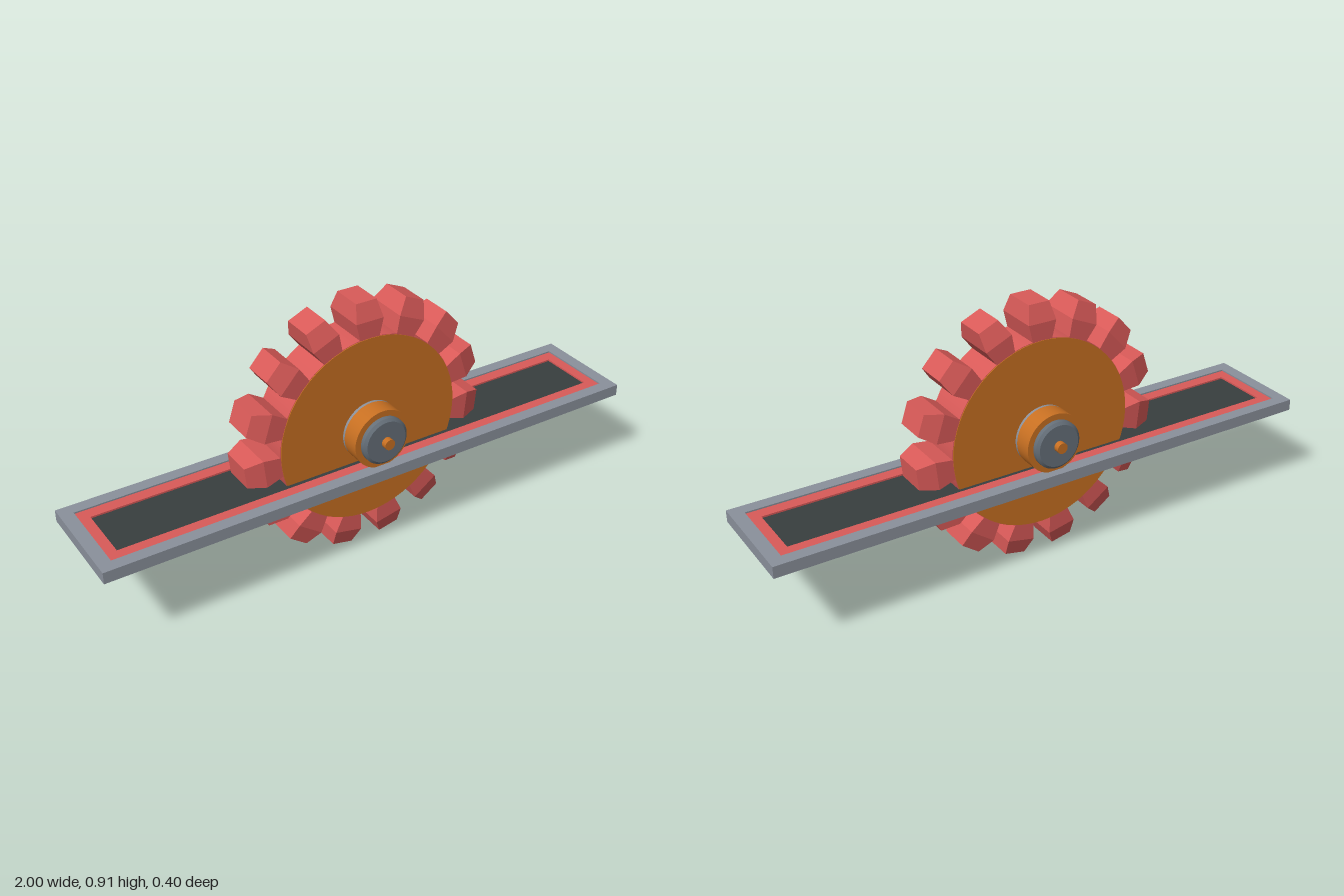
import * as THREE from 'three';

const mat = (name, color) => {
  const m = new THREE.MeshStandardMaterial({ color });
  m.name = name;
  return m;
};

export function createModel() {
  const red = mat('red', 0xd95a58);
  const orange = mat('orange', 0xc87022);
  const steel = mat('steel grey', 0x8a909b);
  const slate = mat('slate grey', 0x66707a);
  const dark = mat('charcoal', 0x383e3e);

  const model = new THREE.Group();
  model.name = 'sawWheelOnTrack';

  const add = (parent, name, geometry, material) => {
    const mesh = new THREE.Mesh(geometry, material);
    mesh.name = name;
    parent.add(mesh);
    return mesh;
  };

  // Rectangular ring lying flat, from half sizes
  const flatRing = (w, d, holeW, holeD, y0, y1) => {
    const rect = (T, a, b) => new T([
      new THREE.Vector2(-a, -b), new THREE.Vector2(a, -b),
      new THREE.Vector2(a, b), new THREE.Vector2(-a, b)]);
    const shape = rect(THREE.Shape, w, d);
    shape.holes.push(rect(THREE.Path, holeW, holeD));
    return new THREE.ExtrudeGeometry(shape, { depth: y1 - y0, bevelEnabled: false })
      .rotateX(-Math.PI / 2).translate(0, y0, 0);
  };

  // Track plate: outer frame, inlaid band and sunken panel
  const track = new THREE.Group();
  track.name = 'track';
  model.add(track);
  add(track, 'trackFrame', flatRing(1, 0.185, 0.955, 0.142, 0.313, 0.354), steel);
  add(track, 'trackBand', flatRing(0.955, 0.142, 0.918, 0.1, 0.322, 0.349), red);
  add(track, 'trackPanel', new THREE.BoxGeometry(1.836, 0.016, 0.2).translate(0, 0.335, 0), dark);

  // Wheel, built around its own axle along z
  const wheel = new THREE.Group();
  wheel.name = 'wheel';
  wheel.position.y = 0.455;
  model.add(wheel);

  // Cylinder along z between z0 and z1
  const disc = (r0, r1, z0, z1, sides = 48) =>
    new THREE.CylinderGeometry(r1, r0, z1 - z0, sides)
      .rotateX(Math.PI / 2).translate(0, 0, (z0 + z1) / 2);

  add(wheel, 'wheelDrum', disc(0.337, 0.337, -0.076, 0.076, 60), red);

  // Tooth: cross-sections at base, shoulder and tip [radius, half width, half depth]
  const sections = [[0.32, 0.033, 0.077], [0.395, 0.051, 0.077], [0.455, 0.038, 0.055]];
  const box = new THREE.BoxGeometry(2, 2, 2, 1, 2, 1);
  const p = box.attributes.position;
  for (let i = 0; i < p.count; i++) {
    const [r, w, d] = sections[Math.round(p.getY(i)) + 1];
    p.setXYZ(i, p.getX(i) * w, r, p.getZ(i) * d);
  }
  const toothGeometry = box.toNonIndexed();
  toothGeometry.computeVertexNormals();

  const TEETH = 15;
  for (let i = 0; i < TEETH; i++) {
    add(wheel, 'tooth', toothGeometry, red).rotation.z = (i / TEETH) * Math.PI * 2;
  }

  // Side disc and axle hub, the same on both faces
  for (const [name, turn] of [['frontHub', 0], ['backHub', Math.PI]]) {
    const hub = new THREE.Group();
    hub.name = name;
    hub.rotation.y = turn;
    wheel.add(hub);
    add(hub, 'sideDisc', disc(0.335, 0.335, 0.07, 0.079, 60), orange);
    add(hub, 'washer', disc(0.104, 0.104, 0.078, 0.09), steel);
    add(hub, 'hubCollar', disc(0.105, 0.105, 0.09, 0.155), orange);
    add(hub, 'hubCap', disc(0.084, 0.084, 0.155, 0.17), slate);
    add(hub, 'hubCapBevel', disc(0.084, 0.074, 0.17, 0.178), slate);
    add(hub, 'axlePin', disc(0.019, 0.019, 0.17, 0.199, 20), orange);
  }

  return model;
}
